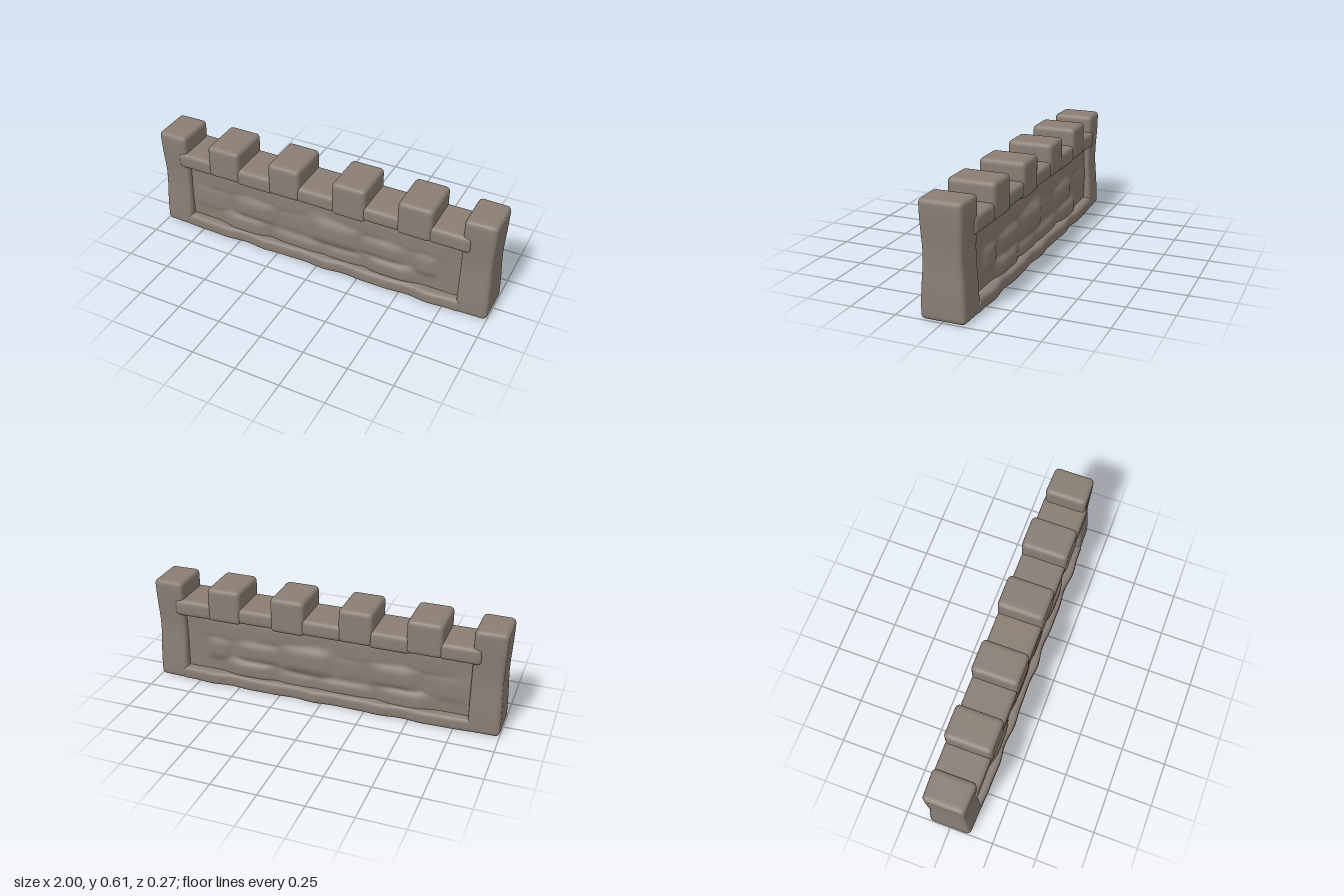
import * as THREE from 'three';
import { mergeVertices } from 'three/addons/utils/BufferGeometryUtils.js';

const stone = new THREE.MeshStandardMaterial({ color: 0x8a7e74 });
stone.name = 'weathered stone';

// Merge a displaced grid and give it smooth normals
function smooth(geo) {
  geo.deleteAttribute('normal');
  geo.deleteAttribute('uv');
  const out = mergeVertices(geo, 1e-5);
  out.computeVertexNormals();
  return out;
}

// Rounded block spanning x0..x1, y0..y1, -z..z, with an optional warp of each point
function block(name, x0, x1, y0, y1, z, r, warp) {
  const size = [x1 - x0, y1 - y0, 2 * z];
  const segs = size.map((s) => Math.max(6, Math.round(s / 0.012)));
  const geo = new THREE.BoxGeometry(...size, ...segs);
  const inner = new THREE.Vector3(...size).multiplyScalar(0.5).subScalar(r);
  const low = inner.clone().negate();
  const p = new THREE.Vector3(), core = new THREE.Vector3();
  const pos = geo.attributes.position;
  for (let i = 0; i < pos.count; i++) {
    p.fromBufferAttribute(pos, i);
    core.copy(p).clamp(low, inner);
    p.sub(core).setLength(r).add(core);
    p.x += (x0 + x1) / 2;
    p.y += (y0 + y1) / 2;
    if (warp) warp(p);
    pos.setXYZ(i, p.x, p.y, p.z);
  }
  const mesh = new THREE.Mesh(smooth(geo), stone);
  mesh.name = name;
  return mesh;
}

// Worn stones swelling out of the recessed wall: x, y, width, height, swell
const stones = [
  [-0.41, 0.235, 0.27, 0.13, 0.026], [0.1, 0.24, 0.29, 0.15, 0.032],
  [0.38, 0.23, 0.27, 0.11, 0.022], [0.63, 0.22, 0.13, 0.12, 0.018],
  [-0.68, 0.22, 0.24, 0.13, 0.01], [-0.14, 0.23, 0.2, 0.12, 0.008],
  [-0.46, 0.11, 0.28, 0.12, 0.03], [0.43, 0.115, 0.28, 0.11, 0.032],
  [-0.13, 0.1, 0.34, 0.09, 0.02], [0.15, 0.1, 0.24, 0.09, 0.018],
  [-0.6, 0.35, 0.26, 0.12, 0.009], [-0.25, 0.35, 0.34, 0.12, 0.007],
  [0.24, 0.355, 0.3, 0.11, 0.009], [0.6, 0.345, 0.28, 0.12, 0.008],
];

function wallDepth(x, y) {
  let swell = 0;
  for (const [cx, cy, w, h, d] of stones) {
    const q = Math.abs((x - cx) / (w / 2)) ** 4 + Math.abs((y - cy) / (h / 2)) ** 4;
    swell = Math.max(swell, d * Math.exp(-q * 0.9));
  }
  return 0.08 + swell + 0.002 * Math.sin(x * 9 + y * 14);
}

function wallFace() {
  const geo = new THREE.PlaneGeometry(1.7, 0.4, 150, 44);
  geo.translate(0, 0.245, 0);
  const pos = geo.attributes.position;
  for (let i = 0; i < pos.count; i++) pos.setZ(i, wallDepth(pos.getX(i), pos.getY(i)));
  return smooth(geo);
}

// Mirror a face to the back, reversing its winding
function mirrorZ(geo) {
  const out = geo.clone().scale(1, 1, -1);
  const index = out.index;
  for (let i = 0; i < index.count; i += 3) {
    const a = index.getX(i);
    index.setX(i, index.getX(i + 2));
    index.setX(i + 2, a);
  }
  out.computeVertexNormals();
  return out;
}

export function createModel() {
  const model = new THREE.Group();
  model.name = 'battlementWall';

  // Recessed stone wall, front and back
  const front = wallFace();
  for (const [name, geo] of [['wallFront', front], ['wallBack', mirrorZ(front)]]) {
    const mesh = new THREE.Mesh(geo, stone);
    mesh.name = name;
    model.add(mesh);
  }

  // End pillars, pinched at mid height and thinner toward the outside
  const pinch = (p) => {
    const waist = Math.exp(-(((p.y - 0.32) / 0.15) ** 2));
    const out = (Math.abs(p.x) - 0.82) / 0.18;
    p.z *= 1 - 0.1 * waist - 0.05 * out + 0.04 * (1 - p.y / 0.6);
    p.x -= Math.sign(p.x) * 0.008 * waist * out;
  };
  model.add(block('rightPillar', -1, -0.825, 0, 0.605, 0.12, 0.025, pinch));
  model.add(block('leftPillar', 0.825, 1, 0, 0.605, 0.12, 0.025, pinch));

  // Uneven base course
  model.add(block('baseCourse', -0.86, 0.86, 0, 0.08, 0.13, 0.025, (p) => {
    p.z *= 1 + 0.035 * Math.sin(p.x * 19 + 1) + 0.02 * Math.sin(p.x * 31);
  }));

  // Top course: low blocks with tall merlons between them
  const edges = [-0.85, -0.67, -0.475, -0.29, -0.1, 0.095, 0.29, 0.47, 0.665, 0.85];
  for (let i = 0; i < edges.length - 1; i++) {
    const tall = i % 2 === 1;
    const edge = 0.006 * Math.sin(i * 2.3);
    model.add(block(
      tall ? 'merlon' : 'crenelBlock',
      edges[i] - (tall ? 0 : 0.025), edges[i + 1] + (tall ? 0 : 0.025),
      0.41 + edge, tall ? 0.608 : 0.505,
      tall ? 0.131 : 0.126, 0.025,
    ));
  }
  return model;
}
